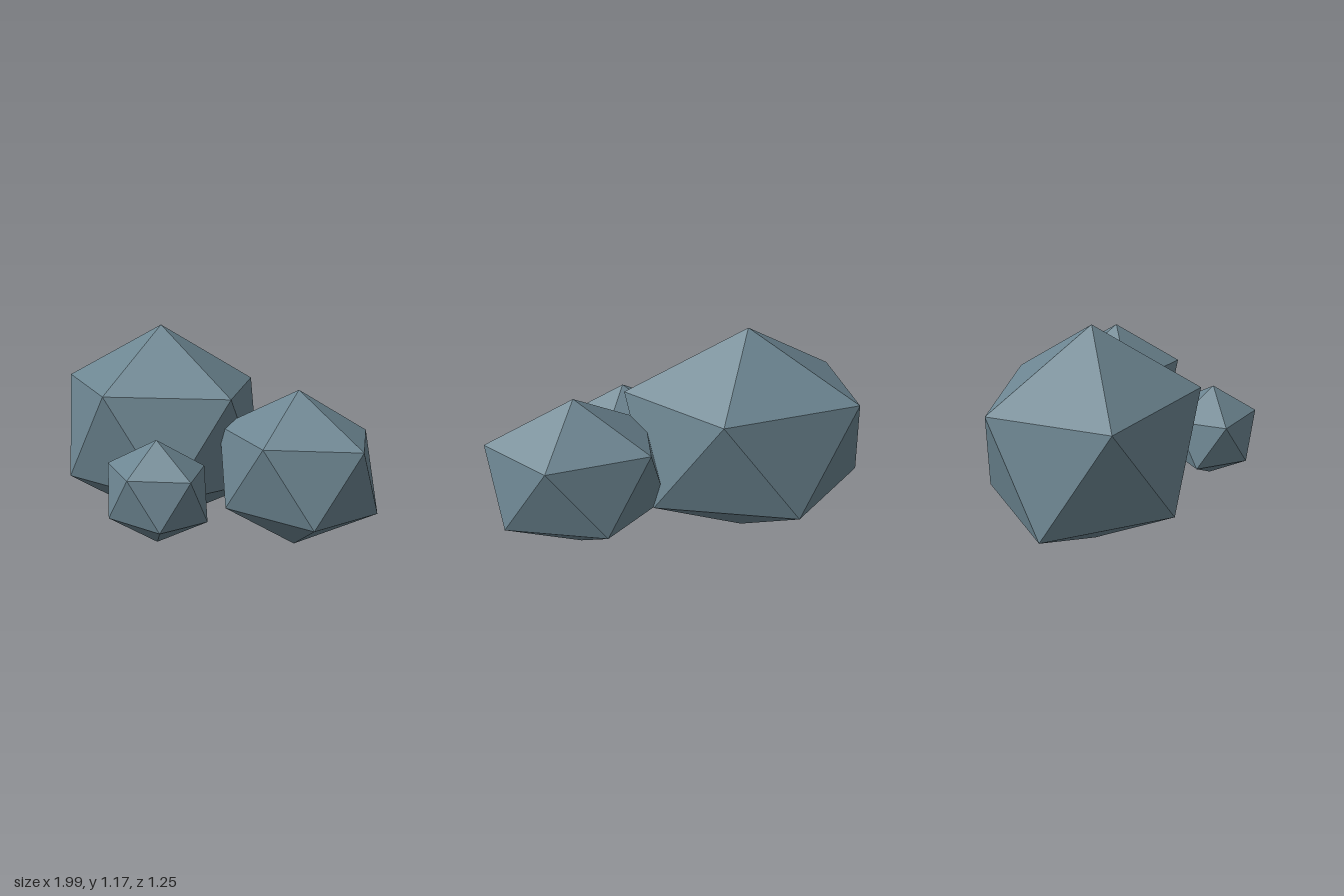
import * as THREE from 'three';

export function createModel() {
  const group = new THREE.Group();
  const stone = new THREE.MeshStandardMaterial({ color: 0x6c8591 });
  stone.name = 'blueGreyStone';

  // Icosahedron standing on a corner, upper ring pointing to +x, stretched along x
  function boulder(name, [x, y, z], [rx, r]) {
    const geometry = new THREE.IcosahedronGeometry(1, 0);
    geometry.rotateX(-Math.atan((1 + Math.sqrt(5)) / 2));
    geometry.rotateY(Math.PI / 2);
    geometry.scale(rx, r, r);
    // Flat normals that follow the stretched faces
    geometry.computeVertexNormals();
    const mesh = new THREE.Mesh(geometry, stone);
    mesh.name = name;
    mesh.position.set(x, y, z);
    group.add(mesh);
  }

  boulder('largeBoulder', [-0.357, 0.587, -0.051], [0.719, 0.587]);
  boulder('mediumBoulder', [0.545, 0.508, -0.276], [0.503, 0.409]);
  boulder('smallBoulder', [0.277, 0.441, 0.401], [0.322, 0.263]);

  group.name = 'boulderCluster';
  return group;
}
